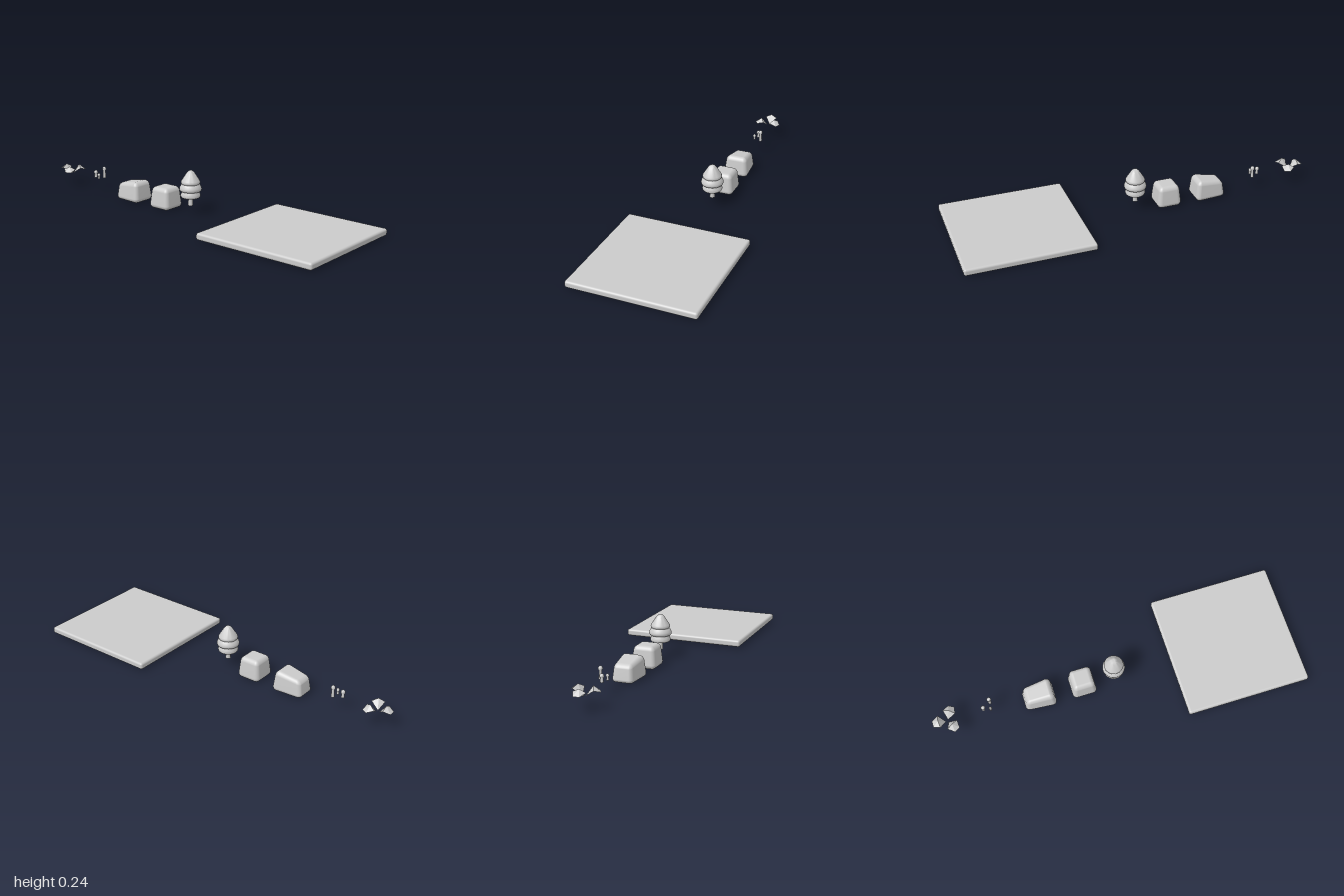
import * as THREE from 'three';
import { mergeVertices, toCreasedNormals } from 'three/addons/utils/BufferGeometryUtils.js';
import { RoundedBoxGeometry } from 'three/addons/geometries/RoundedBoxGeometry.js';

const material = new THREE.MeshStandardMaterial({ color: 0xcccccc });
const flatMaterial = new THREE.MeshStandardMaterial({ color: 0xcccccc, flatShading: true, side: THREE.DoubleSide });

function add(parent, name, geometry, x = 0, y = 0, z = 0, mat = material) {
  const mesh = new THREE.Mesh(geometry, mat);
  mesh.name = name;
  mesh.position.set(x, y, z);
  parent.add(mesh);
  return mesh;
}

function lathe(points, segments) {
  const profile = points.map(([r, y]) => new THREE.Vector2(r, y));
  return toCreasedNormals(new THREE.LatheGeometry(profile, segments), 0.7);
}

// Rounded block whose vertices are moved by a rule, then smoothed
function boulder(w, h, d, radius, rule) {
  let geo = new RoundedBoxGeometry(w, h, d, 5, radius);
  geo.deleteAttribute('normal');
  geo.deleteAttribute('uv');
  geo = mergeVertices(geo, 1e-5);
  const p = geo.attributes.position;
  const v = new THREE.Vector3();
  for (let i = 0; i < p.count; i++) {
    v.fromBufferAttribute(p, i);
    rule(v, v.x / w + 0.5, v.y / h + 0.5);
    p.setXYZ(i, v.x, v.y, v.z);
  }
  geo.computeVertexNormals();
  return geo;
}

// Arched leaf: a five-cornered outline fanned to a raised crown and an underside point
function leafGeometry() {
  const ring = [[0.008, 0.068, 0], [0.042, 0.1, 0.034], [0.078, 0.088, 0.017],
    [0.078, 0.088, -0.017], [0.042, 0.1, -0.034]];
  const crown = [0.045, 0.117, 0], under = [0.042, 0.092, 0];
  const pos = [];
  ring.forEach((a, i) => {
    const b = ring[(i + 1) % ring.length];
    pos.push(...crown, ...a, ...b, ...under, ...b, ...a);
  });
  const geo = new THREE.BufferGeometry();
  geo.setAttribute('position', new THREE.Float32BufferAttribute(pos, 3));
  geo.computeVertexNormals();
  return geo;
}

export function createModel() {
  const model = new THREE.Group();
  model.name = 'landscapeSet';

  // Ground tile
  add(model, 'groundTile', new RoundedBoxGeometry(0.68, 0.037, 0.678, 4, 0.012), 0.66, 0.0235, 0);

  // Tree: trunk and three stacked tiers
  const tree = new THREE.Group();
  tree.name = 'tree';
  model.add(tree);
  add(tree, 'trunk', new THREE.CylinderGeometry(0.011, 0.014, 0.055, 16), 0, 0.0725, 0);
  const tiers = {
    lowerFoliage: [[0, 0.09], [0.048, 0.09], [0.052, 0.094], [0.054, 0.1], [0.053, 0.107], [0.042, 0.127], [0, 0.127]],
    middleFoliage: [[0, 0.125], [0.053, 0.125], [0.058, 0.129], [0.06, 0.136], [0.059, 0.145], [0.052, 0.157], [0.045, 0.166], [0, 0.166]],
    topFoliage: [[0, 0.164], [0.047, 0.164], [0.051, 0.168], [0.052, 0.174], [0.049, 0.182], [0.022, 0.224], [0.014, 0.233], [0.007, 0.237], [0, 0.238]],
  };
  for (const [name, points] of Object.entries(tiers)) add(tree, name, lathe(points, 28));

  // Rocks, tapering towards the top
  add(model, 'squareRock', boulder(0.134, 0.12, 0.135, 0.024, (v, tx, ty) => {
    const s = 1 - 0.19 * ty * ty;
    v.x *= s;
    v.z *= s;
  }), -0.178, 0.06, 0);
  add(model, 'slopedRock', boulder(0.17, 0.115, 0.138, 0.024, (v, tx, ty) => {
    v.x *= 1 - 0.16 * ty * ty;
    v.z *= (1 - 0.19 * ty * ty) * (0.8 + 0.2 * Math.min(1, tx * 1.2));
    v.y -= ty * 0.022 * Math.max(0, 1 - tx * 1.4);
  }), -0.42, 0.0575, 0);

  // Mushrooms: tapered stem with a domed cap
  const mushrooms = [[-0.722, 0, 0.012, 0.042], [-0.68, -0.027, 0.012, 0.065], [-0.685, 0.012, 0.009, 0.032]];
  for (const [x, z, r, h] of mushrooms) {
    const mushroom = new THREE.Group();
    mushroom.name = 'mushroom';
    mushroom.position.set(x, 0.075, z);
    model.add(mushroom);
    const base = h - r * 1.5;
    add(mushroom, 'stem', new THREE.CylinderGeometry(r * 0.6, r * 0.75, base + 0.002, 12), 0, base / 2, 0);
    add(mushroom, 'cap', lathe([[0, base], [r * 0.9, base], [r, base + r * 0.3],
      [r * 0.85, base + r * 0.95], [r * 0.45, base + r * 1.4], [0, h]], 14));
  }

  // Plant: three leaves around one centre
  const plant = new THREE.Group();
  plant.name = 'plant';
  plant.position.set(-0.92, 0, 0.004);
  model.add(plant);
  const leaf = leafGeometry();
  for (let i = 0; i < 3; i++) {
    add(plant, 'leaf', leaf, 0, 0, 0, flatMaterial).rotation.y = Math.PI + (i * Math.PI * 2) / 3;
  }
  return model;
}
